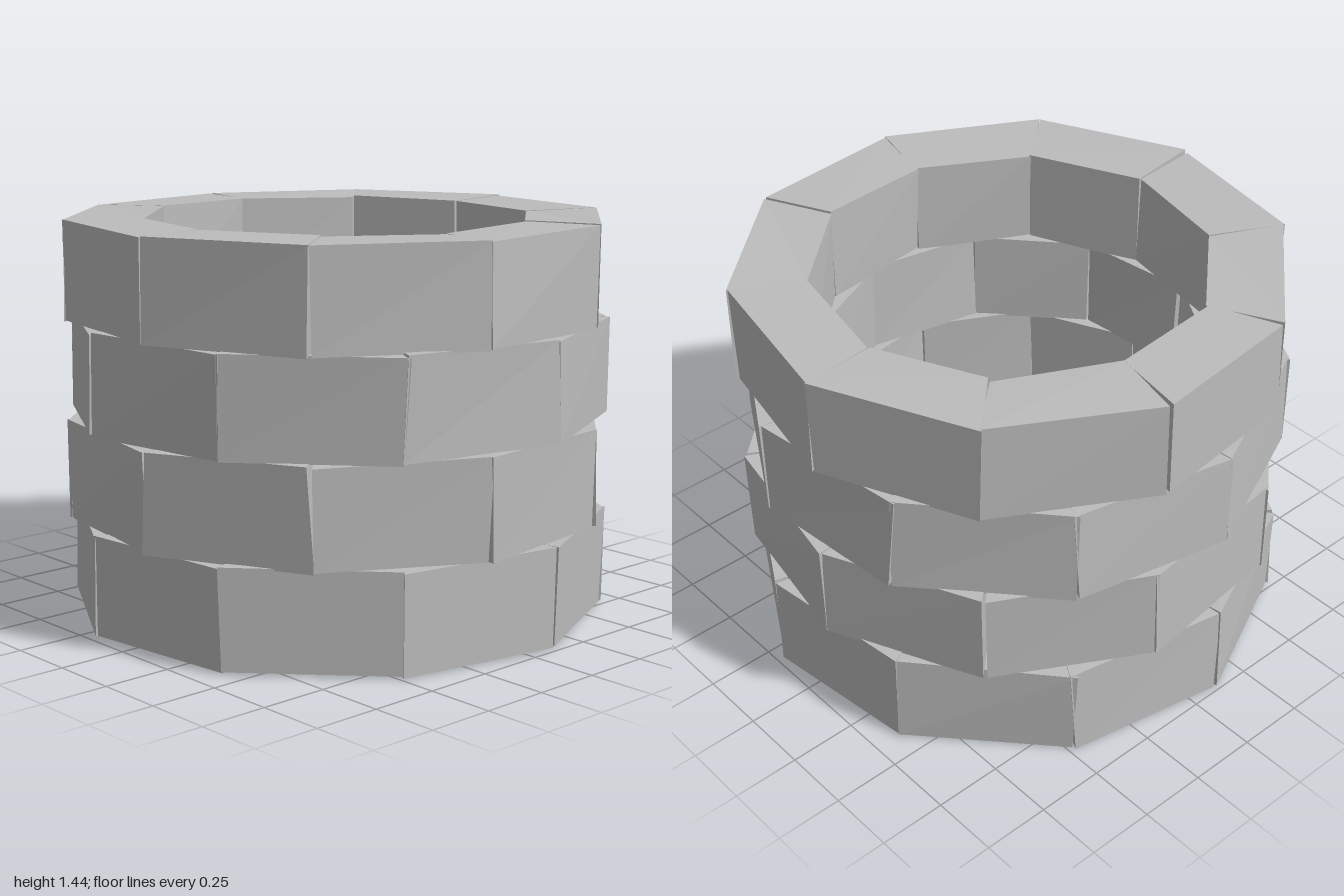
import * as THREE from 'three';

const BRICKS = 10;
const STEP = (Math.PI * 2) / BRICKS;
const OUTER = 0.99, INNER = 0.715;
const COURSE = 0.358, BASE = 0.008;

// Small seeded generator for the hand-laid irregularity
function seeded(seed) {
  let s = seed;
  return () => {
    s = (s * 16807) % 2147483647;
    return s / 2147483647 - 0.5;
  };
}

// Wedge brick: a box bent onto the ring, each of its 8 corners nudged a little
function brickGeometry(angle, y0, rand) {
  const nudges = Array.from({ length: 8 }, () => [rand() * 0.03, rand() * 0.012, rand() * 0.015]);
  const geo = new THREE.BoxGeometry(1, 1, 1).toNonIndexed();
  const p = geo.attributes.position;
  for (let i = 0; i < p.count; i++) {
    const x = p.getX(i), y = p.getY(i), z = p.getZ(i);
    const [da, dy, dr] = nudges[(x > 0 ? 1 : 0) + (y > 0 ? 2 : 0) + (z > 0 ? 4 : 0)];
    const a = angle + x * STEP + da;
    const r = (z > 0 ? OUTER : INNER) + dr;
    p.setXYZ(i, Math.sin(a) * r, y0 + (y + 0.5) * COURSE + dy, Math.cos(a) * r);
  }
  geo.computeVertexNormals();
  return geo;
}

export function createModel() {
  const model = new THREE.Group();
  model.name = 'stoneWell';
  const stone = new THREE.MeshStandardMaterial({ color: 0xbcbcbc, flatShading: true });
  stone.name = 'grey stone';
  const rand = seeded(4711);

  // Four courses, alternate ones shifted by half a brick
  for (let c = 0; c < 4; c++) {
    const course = new THREE.Group();
    course.name = `course${c + 1}`;
    const firstJoint = THREE.MathUtils.degToRad(c % 2 ? 6.5 : 24.5);
    for (let i = 0; i < BRICKS; i++) {
      const brick = new THREE.Mesh(
        brickGeometry(firstJoint + (i + 0.5) * STEP, BASE + c * COURSE, rand), stone);
      brick.name = `brick${c + 1}_${i + 1}`;
      course.add(brick);
    }
    model.add(course);
  }
  return model;
}
